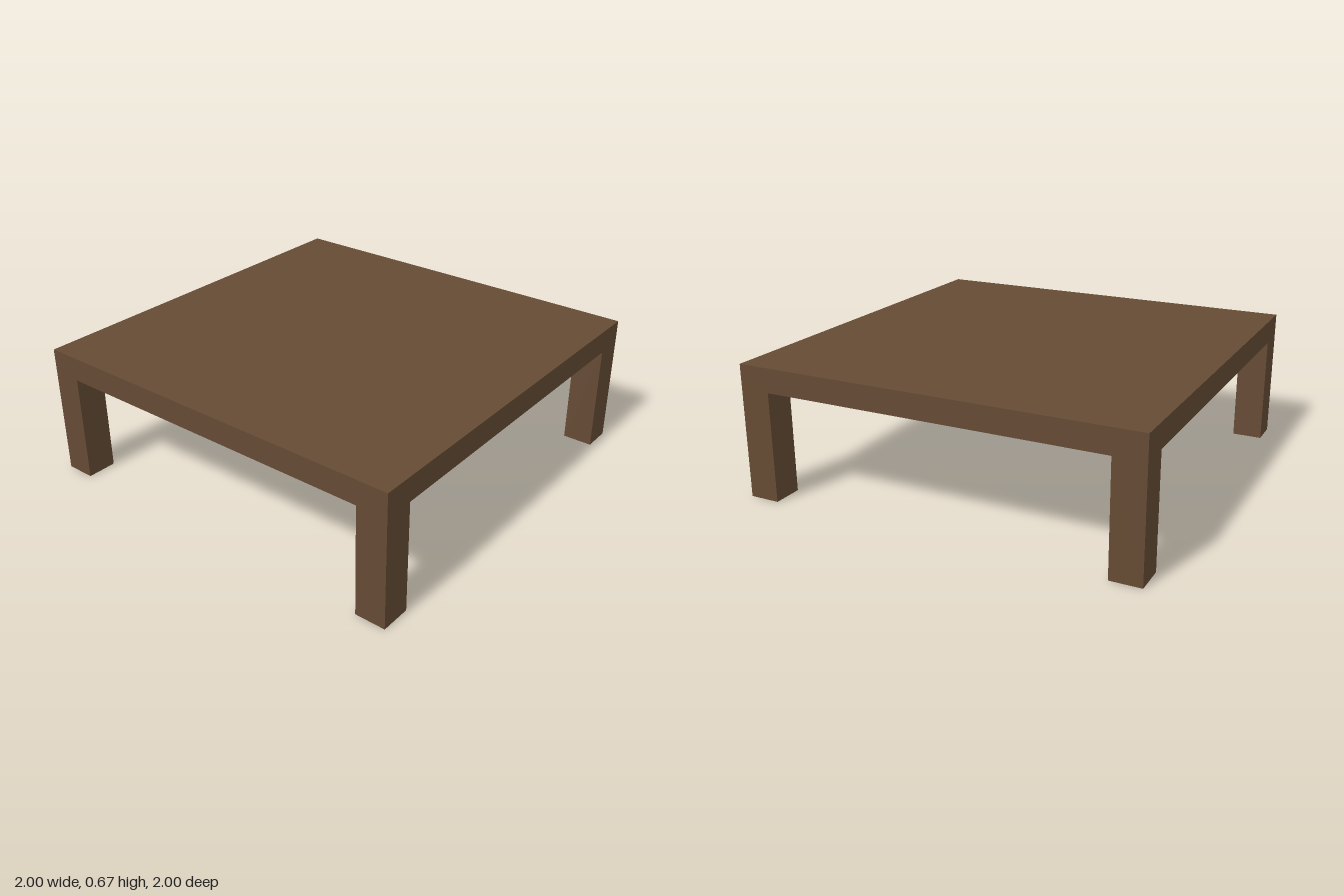
import * as THREE from 'three';

const H = 0.667;   // table height
const RAIL = 0.547; // lower edge of the aprons
const LEG = 0.152; // leg width

export function createModel() {
  const table = new THREE.Group();
  table.name = 'lowTable';
  const wood = new THREE.MeshStandardMaterial({ color: 0x654b34, side: THREE.DoubleSide });
  wood.name = 'brownWood';

  const add = (parent, name, geometry) => {
    const mesh = new THREE.Mesh(geometry, wood);
    mesh.name = name;
    parent.add(mesh);
    return mesh;
  };

  // Thin top sheet, the table is a hollow shell open from below
  add(table, 'tabletop', new THREE.PlaneGeometry(2, 2).rotateX(-Math.PI / 2).translate(0, H, 0));

  // Outer face of one side: apron and the outer faces of two legs
  const inner = 1 - LEG;
  const outline = new THREE.Shape([
    [-1, 0], [-inner, 0], [-inner, RAIL], [inner, RAIL],
    [inner, 0], [1, 0], [1, H], [-1, H],
  ].map(([x, y]) => new THREE.Vector2(x, y)));
  const sideGeometry = new THREE.ShapeGeometry(outline).translate(0, 0, 1);

  // Inner faces of one corner leg, open at the foot
  const wall = new THREE.PlaneGeometry(LEG, RAIL);
  const mid = 1 - LEG / 2;
  const backWall = wall.clone().rotateY(Math.PI).translate(mid, RAIL / 2, inner);
  const sideWall = wall.clone().rotateY(-Math.PI / 2).translate(inner, RAIL / 2, mid);

  // Repeat side and leg around the four quarters
  for (let i = 0; i < 4; i++) {
    const quarter = new THREE.Group();
    quarter.name = 'sideAndLeg' + (i + 1);
    quarter.rotation.y = i * Math.PI / 2;
    add(quarter, 'sidePanel', sideGeometry);
    add(quarter, 'legInnerBack', backWall);
    add(quarter, 'legInnerSide', sideWall);
    table.add(quarter);
  }
  return table;
}
